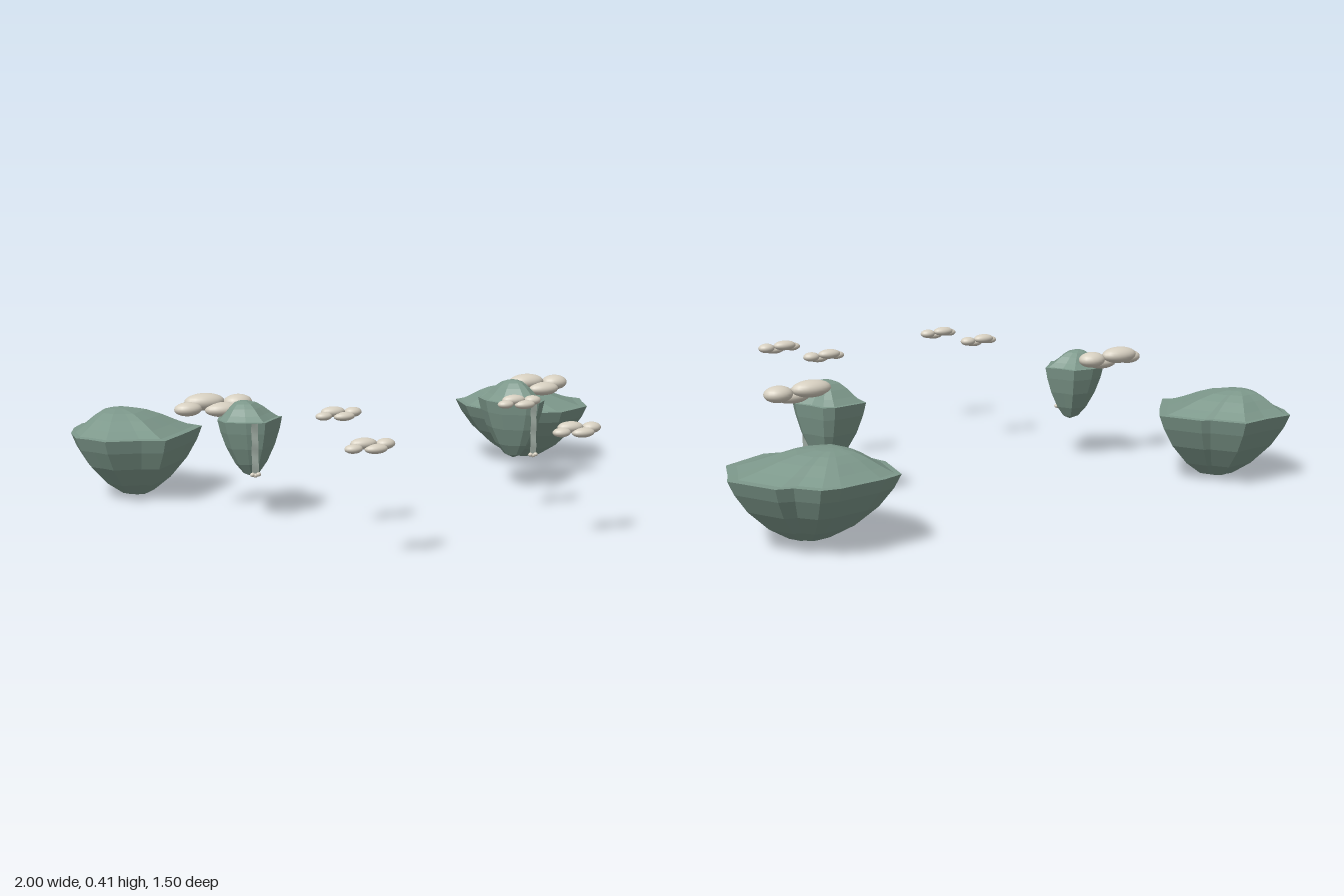
import * as THREE from 'three';

// Underside rows (scale towards the tip, drop) and mound rows (scale towards the peak, rise)
const UNDER = [[0, 1], [0.25, 0.94], [0.5, 0.76], [0.76, 0.47], [0.92, 0.2], [1, 0]];
const MOUND = [[0.9, 0.02], [0.72, 0.28], [0.52, 0.62], [0.34, 0.86], [0.16, 0.97], [0, 1]];

// Rock: an outline (clockwise from above) shrunk to a tip below and a peak above
function island({ outline, rim, tip, peak }) {
  const ring = ([s, f], [px, py, pz]) =>
    outline.map(([x, z]) => [px + (x - px) * s, rim + (py - rim) * f, pz + (z - pz) * s]);
  const rings = [...UNDER.map(r => ring(r, tip)), ...MOUND.map(r => ring(r, peak))];
  const n = outline.length, pos = rings.flat(2), idx = [];
  for (let r = 0; r < rings.length - 1; r++) {
    for (let i = 0; i < n; i++) {
      const j = (i + 1) % n, a = r * n, b = a + n;
      if (r > 0) idx.push(a + j, a + i, b + i);
      if (r < rings.length - 2) idx.push(a + j, b + i, b + j);
      
    }
  }
  const geo = new THREE.BufferGeometry();
  geo.setAttribute('position', new THREE.Float32BufferAttribute(pos, 3));
  geo.setIndex(idx);
  geo.computeVertexNormals();
  return geo;
}

const ISLANDS = [
  { name: 'largeIslandRight', rim: 0.23, tip: [-0.78, 0, -0.44], peak: [-0.83, 0.305, -0.5],
    outline: [[-0.72, -0.67], [-0.65, -0.575], [-0.62, -0.565], [-0.545, -0.44], [-0.61, -0.35], [-0.65, -0.3],
      [-0.725, -0.21], [-0.8, -0.24], [-0.92, -0.26], [-0.96, -0.32], [-1, -0.365], [-1, -0.465],
      [-0.975, -0.56], [-0.935, -0.635], [-0.83, -0.645]] },
  { name: 'largeIslandLeft', rim: 0.222, tip: [0.75, 0.012, -0.51], peak: [0.69, 0.288, -0.56],
    outline: [[0.75, -0.755], [0.81, -0.75], [0.865, -0.69], [0.915, -0.68], [1, -0.535], [0.975, -0.47],
      [0.94, -0.36], [0.79, -0.275], [0.68, -0.295], [0.595, -0.315], [0.54, -0.44], [0.51, -0.535],
      [0.535, -0.69], [0.6, -0.72], [0.67, -0.735]] },
  { name: 'smallIslandRight', rim: 0.332, tip: [-0.49, 0.14, 0.02], peak: [-0.51, 0.39, 0],
    outline: [[-0.52, -0.08], [-0.44, -0.08], [-0.42, -0.03], [-0.385, 0.02], [-0.43, 0.07], [-0.47, 0.12],
      [-0.53, 0.105], [-0.59, 0.07], [-0.6, 0.01], [-0.575, -0.06]] },
  { name: 'smallIslandLeft', rim: 0.32, tip: [0.5, 0.11, -0.08], peak: [0.5, 0.39, -0.09],
    outline: [[0.52, -0.2], [0.555, -0.185], [0.575, -0.13], [0.605, -0.08], [0.59, -0.02], [0.545, 0.03],
      [0.5, 0.025], [0.42, -0.02], [0.395, -0.09], [0.4, -0.17], [0.46, -0.185]] },
];

// Puffs for a cloud of length 1: offset x, y, z and radii x, y, z
const PUFFS = [
  [-0.33, -0.01, 0.07, 0.17, 0.085, 0.12],
  [-0.1, 0.05, -0.05, 0.25, 0.105, 0.14],
  [0.1, -0.04, 0.06, 0.22, 0.09, 0.13],
  [0.32, 0.02, -0.05, 0.18, 0.1, 0.14],
];

// Cloud centre and length
const CLOUDS = [
  [-0.59, 0.363, -0.08, 0.27], [0.593, 0.36, -0.11, 0.265],
  [-0.298, 0.388, 0.343, 0.155], [0.325, 0.385, 0.328, 0.16],
  [-0.33, 0.36, 0.718, 0.16], [0.34, 0.36, 0.702, 0.17],
];

// Waterfall: x, z, top, bottom
const FALLS = [[-0.505, 0.118, 0.332, 0.165], [0.522, 0.035, 0.322, 0.14]];

export function createModel() {
  const model = new THREE.Group();
  const rock = new THREE.MeshStandardMaterial({ color: 0x7d988b, flatShading: true });
  const cloudWhite = new THREE.MeshStandardMaterial({ color: 0xd6cfc0 });
  const water = new THREE.MeshStandardMaterial({ color: 0xa3b0a7, side: THREE.DoubleSide });
  rock.name = 'sageRock';
  cloudWhite.name = 'cloudCream';
  water.name = 'paleWater';

  const add = (parent, geo, mat, name) => {
    const mesh = new THREE.Mesh(geo, mat);
    mesh.name = name;
    parent.add(mesh);
    return mesh;
  };

  for (const spec of ISLANDS) add(model, island(spec), rock, spec.name);

  // Clouds of overlapping flattened puffs
  const ball = new THREE.SphereGeometry(1, 20, 14);
  for (const [x, y, z, length] of CLOUDS) {
    const cloud = new THREE.Group();
    cloud.name = 'cloud';
    cloud.position.set(x, y, z);
    cloud.scale.setScalar(length);
    for (const [px, py, pz, rx, ry, rz] of PUFFS) {
      const puff = add(cloud, ball, cloudWhite, 'cloudPuff');
      puff.position.set(px, py, pz);
      puff.scale.set(rx, ry, rz);
    }
    model.add(cloud);
  }

  // Thin rippled waterfalls with foam at the end
  for (const [x, z, top, bottom] of FALLS) {
    const fall = new THREE.Group();
    fall.name = 'waterfall';
    const ribbon = new THREE.PlaneGeometry(0.022, top - bottom, 2, 14);
    const p = ribbon.attributes.position;
    for (let i = 0; i < p.count; i++) {
      p.setZ(i, 0.003 * Math.sin(p.getY(i) * 90 + p.getX(i) * 60));
    }
    ribbon.computeVertexNormals();
    add(fall, ribbon, water, 'waterRibbon').position.set(x, (top + bottom) / 2, z);
    for (const s of [-1, 0, 1]) {
      const foam = add(fall, ball, cloudWhite, 'foam');
      foam.position.set(x + s * 0.01, bottom - 0.002 + Math.abs(s) * 0.003, z);
      foam.scale.set(0.008, 0.007, 0.007);
    }
    model.add(fall);
  }
  return model;
}
